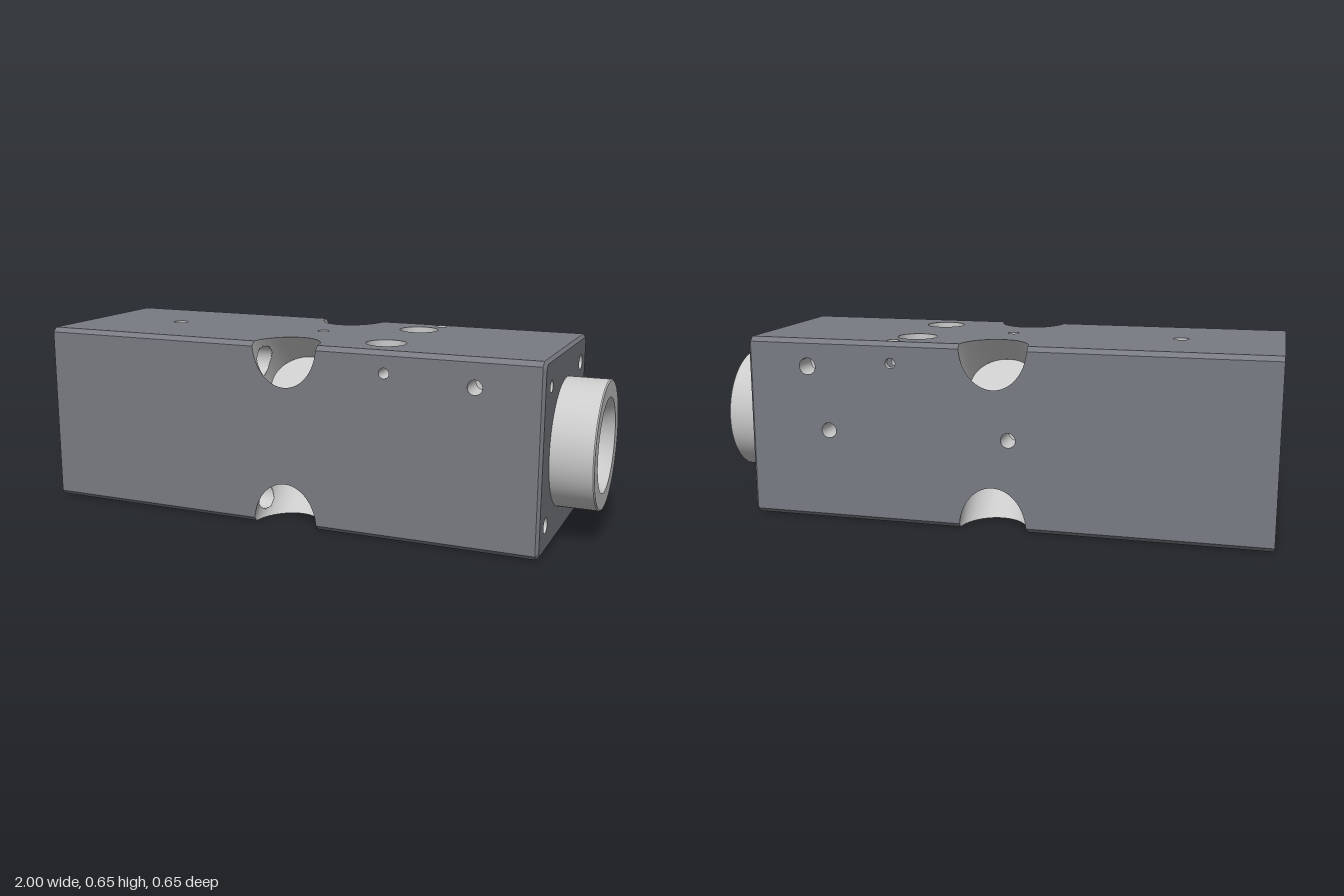
import * as THREE from 'three';
import { toCreasedNormals } from 'three/addons/utils/BufferGeometryUtils.js';

const H = 0.325;             // half width of the square block
const C = 0.016;             // chamfer of the long edges
const S = H - C;
const X0 = -1, X1 = 0.845, XEND = 0.855;
const PX = -0.045, PR = 0.12, PW = 0.108, FLOOR = 0.235; // corner pockets
const EDGE = H * Math.SQRT2;
const CUT = EDGE - C / Math.SQRT2;
const ROD_D = 0.346, ROD_R = 0.055;                      // rod holes

const dark = new THREE.MeshStandardMaterial({ color: 0x787b82, side: THREE.DoubleSide });
const light = new THREE.MeshStandardMaterial({ color: 0xcccccc, side: THREE.DoubleSide });

function add(parent, name, geometry, material) {
  const mesh = new THREE.Mesh(geometry, material);
  mesh.name = name;
  parent.add(mesh);
  return mesh;
}

function circlePath(x, y, r) {
  return new THREE.Path().absarc(x, y, r, 0, Math.PI * 2, true);
}

// Drilled wall between two depths below a panel, with an optional floor
function drill(panel, name, [x, y, r, from, to, floor]) {
  const tube = new THREE.CylinderGeometry(r, r, to - from, 32, 1, true);
  tube.rotateX(Math.PI / 2).translate(x, y, -(from + to) / 2);
  add(panel, name, tube, light);
  if (floor) add(panel, name + 'Floor', new THREE.CircleGeometry(r, 32).translate(x, y, -to), light);
}

// Flat panel in its own xy plane: openings cut the sheet, bores line the holes
function makePanel(name, outline, openings, bores) {
  const panel = new THREE.Group();
  panel.name = name;
  const shape = new THREE.Shape(outline);
  for (const [x, y, r] of openings) shape.holes.push(circlePath(x, y, r));
  add(panel, name + 'Sheet', new THREE.ShapeGeometry(shape, 24), dark);
  bores.forEach(b => drill(panel, name + 'Hole', b));
  return panel;
}

// Long side outline with a bite at both edges for the corner pockets
function sideOutline() {
  const t0 = Math.asin(C / (Math.SQRT2 * PW));
  const bite = [];
  for (let i = 0; i <= 32; i++) {
    const t = t0 + (Math.PI - 2 * t0) * i / 32;
    bite.push([PX + PR * Math.cos(t), H - Math.SQRT2 * PW * Math.sin(t)]);
  }
  const pts = [[X0, -S], ...bite.slice().reverse().map(([x, y]) => [x, -y]),
    [X1, -S], [X1, S], ...bite, [X0, S]];
  return pts.map(p => new THREE.Vector2(...p));
}

function octagon(h) {
  const a = h - C;
  return [[h, -a], [h, a], [a, h], [-a, h], [-h, a], [-h, -a], [-a, -h], [a, -h]]
    .map(p => new THREE.Vector2(...p));
}

// Diagonal round pocket in local space: x along the block, z outward
function pocketWall() {
  const N = 128, M = 36, pos = [], idx = [];
  for (let i = 0; i <= N; i++) {
    const t = i / N * Math.PI * 2, w = PW * Math.sin(t);
    const top = Math.min(EDGE - Math.abs(w), CUT);
    for (let j = 0; j <= M; j++) pos.push(PX + PR * Math.cos(t), w, FLOOR + (top - FLOOR) * j / M);
  }
  const inRodHole = k => pos[3 * k] < PX && Math.hypot(pos[3 * k + 1], pos[3 * k + 2] - ROD_D) < ROD_R;
  for (let i = 0; i < N; i++) for (let j = 0; j < M; j++) {
    const a = i * (M + 1) + j, b = a + M + 1;
    if ([a, b, a + 1, b + 1].every(inRodHole)) continue;
    idx.push(a, a + 1, b, b, a + 1, b + 1);
  }
  const g = new THREE.BufferGeometry();
  g.setAttribute('position', new THREE.Float32BufferAttribute(pos, 3));
  g.setIndex(idx);
  g.computeVertexNormals();
  return g;
}

// Rod hole whose inner end follows the pocket wall
function rodHole() {
  const g = new THREE.CylinderGeometry(ROD_R, ROD_R, 1, 40, 1, true);
  g.rotateZ(-Math.PI / 2);
  const p = g.attributes.position;
  for (let i = 0; i < p.count; i++) {
    const w = p.getY(i);
    p.setX(i, p.getX(i) < 0 ? X0 : PX - PR * Math.sqrt(1 - (w / PW) ** 2));
  }
  return g.translate(0, 0, ROD_D);
}

// Edge chamfer strips, pocket and rod hole for one long corner
function makeCorner() {
  const corner = new THREE.Group();
  corner.name = 'corner';
  for (const [a, b] of [[X0, PX - PR], [PX + PR, X1]]) {
    add(corner, 'edgeChamfer',
      new THREE.PlaneGeometry(b - a, C * Math.SQRT2).translate((a + b) / 2, 0, CUT), dark);
  }
  add(corner, 'pocketWall', pocketWall(), light);
  add(corner, 'pocketFloor',
    new THREE.CircleGeometry(1, 64).scale(PR, PW, 1).translate(PX, 0, FLOOR), light);
  add(corner, 'rodHole', rodHole(), light);
  return corner;
}

export function createModel() {
  const model = new THREE.Group();
  model.name = 'cylinderBlock';
  const body = new THREE.Group();
  body.name = 'body';
  body.position.y = H;
  model.add(body);

  // Long sides, turned about x: front, top, back, bottom
  const wells = [-0.17, 0.17];
  const sides = [
    { name: 'front',
      openings: [[0.32, 0.25, 0.018], [0.63, 0.227, 0.025]],
      bores: [[0.32, 0.25, 0.018, 0, 0.592], [0.32, 0.25, 0.018, 0.628, 0.65],
        [0.63, 0.227, 0.025, 0, 0.1, true]] },
    { name: 'top',
      openings: [[-0.645, 0, 0.027], [-0.04, 0, 0.02], [0.32, 0.285, 0.021],
        ...wells.map(s => [0.27, s, 0.07])],
      bores: [[-0.645, 0, 0.027, 0, 0.06, true], [-0.04, 0, 0.02, 0, 0.08, true],
        [0.32, 0.285, 0.021, 0, 0.057], [0.32, 0.285, 0.021, 0.093, 0.65],
        ...wells.map(s => [0.27, s, 0.07, 0, 0.04]),
        ...wells.map(s => [0.27, s, 0.045, 0.04, 0.65])] },
    { name: 'back',
      openings: [[0.32, -0.25, 0.018], [0.63, -0.227, 0.03], [0.555, 0, 0.027], [-0.1, 0, 0.026]],
      bores: [[0.63, -0.227, 0.03, 0, 0.1, true], [0.555, 0, 0.027, 0, 0.12, true],
        [-0.1, 0, 0.026, 0, 0.12, true]] },
    { name: 'bottom',
      openings: [[0.32, -0.285, 0.021], [-0.04, 0, 0.018], ...wells.map(s => [0.27, s, 0.045])],
      bores: [[-0.04, 0, 0.018, 0, 0.08, true]] },
  ];
  sides.forEach((side, k) => {
    const turn = new THREE.Group();
    turn.name = side.name + 'Side';
    turn.rotation.x = -k * Math.PI / 2;
    const panel = makePanel(side.name, sideOutline(), side.openings, side.bores);
    panel.position.z = H;
    if (side.name === 'top') {
      for (const s of wells) {
        add(panel, 'counterboreSeat',
          new THREE.RingGeometry(0.045, 0.07, 32).translate(0.27, s, -0.04), light);
      }
    }
    turn.add(panel);
    const corner = makeCorner();
    corner.rotation.x = -Math.PI / 4;
    turn.add(corner);
    body.add(turn);
  });

  // Port end with four blind screw holes and a bevelled rim
  const screws = [[-0.233, 0.233, 0.02], [0.235, 0.235, 0.027],
    [-0.233, -0.23, 0.027], [0.235, -0.232, 0.02]];
  const portEnd = makePanel('portEnd', octagon(H - 0.01), [...screws, [0, 0, 0.215]],
    screws.map(s => [...s, 0, 0.15, true]));
  portEnd.rotation.y = Math.PI / 2;
  portEnd.position.x = XEND;
  const outer = octagon(H), inner = octagon(H - 0.01), rim = [];
  outer.forEach((a, i) => {
    const n = (i + 1) % 8, b = outer[n], c = inner[n], d = inner[i], z = X1 - XEND;
    rim.push(a.x, a.y, z, b.x, b.y, z, c.x, c.y, 0, a.x, a.y, z, c.x, c.y, 0, d.x, d.y, 0);
  });
  const rimGeo = new THREE.BufferGeometry();
  rimGeo.setAttribute('position', new THREE.Float32BufferAttribute(rim, 3));
  rimGeo.computeVertexNormals();
  add(portEnd, 'endChamfer', rimGeo, dark);
  body.add(portEnd);

  // Open end with the main bore, rod holes and small dowel holes
  const q = ROD_D / Math.SQRT2;
  const rods = [[q, q], [-q, q], [-q, -q], [q, -q]].map(p => [...p, ROD_R]);
  const dowels = [[0.102, 0.285, 0.016], [-0.296, 0, 0.016], [-0.11, -0.287, 0.016]];
  const openEnd = makePanel('openEnd', octagon(H), [[0, 0, 0.26], ...rods, ...dowels],
    dowels.map(d => [...d, 0, 0.1, true]));
  openEnd.rotation.y = -Math.PI / 2;
  openEnd.position.x = X0;
  body.add(openEnd);

  // Main bore, threaded port and round boss turned as one profile
  const profile = [[0.26, X0], [0.26, -0.25], [0.12, -0.25], [0.12, 0.64], [0.148, 0.66]];
  for (let x = 0.68; x < 0.95; x += 0.04) profile.push([0.148, x], [0.134, x + 0.02]);
  profile.push([0.148, 0.975], [0.163, 1], [0.219, 1], [0.223, 0.996], [0.223, XEND]);
  const bore = new THREE.LatheGeometry(profile.map(p => new THREE.Vector2(...p)), 72);
  bore.rotateZ(-Math.PI / 2);
  add(body, 'boreAndBoss', toCreasedNormals(bore, 0.4), light);

  return model;
}
